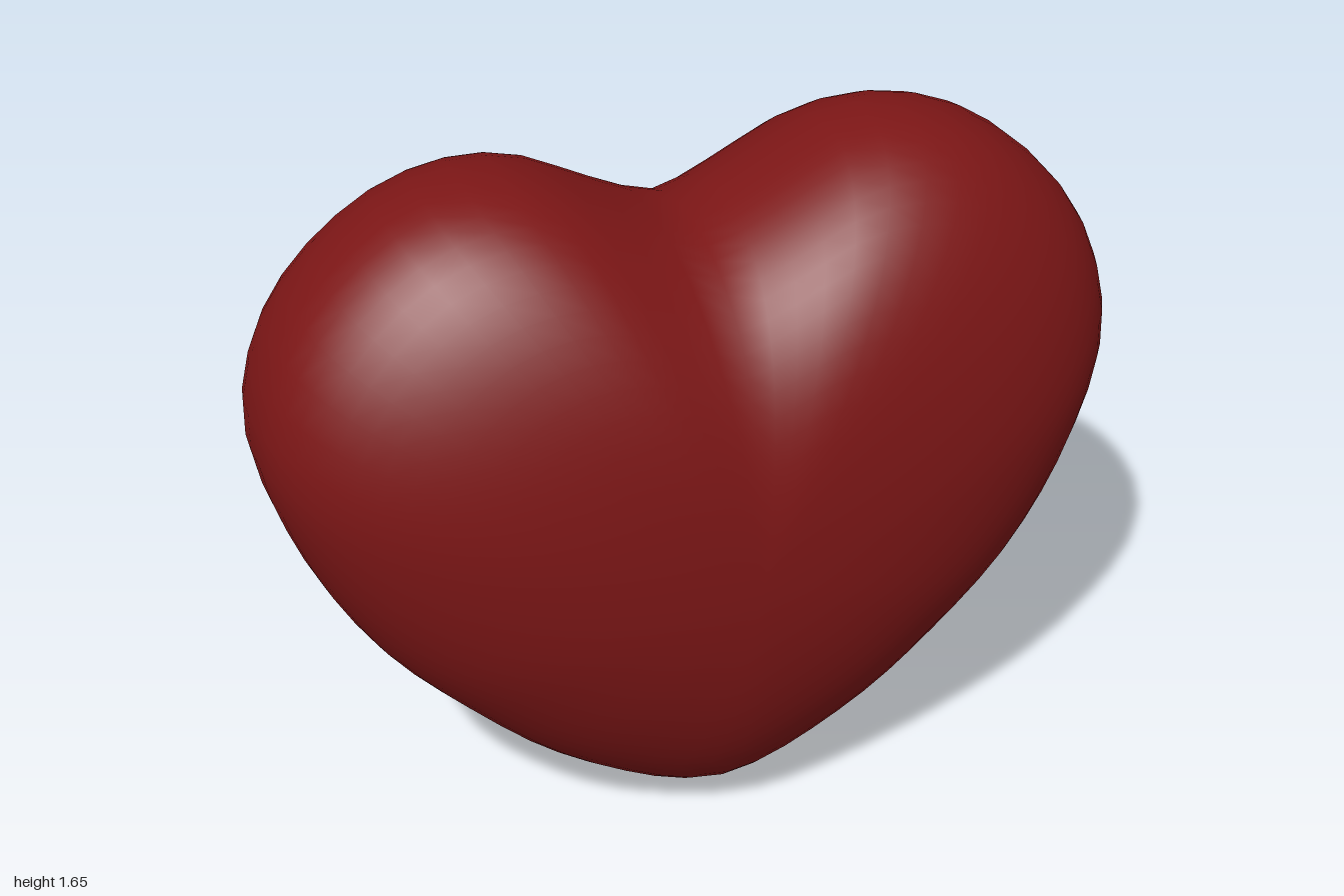
import * as THREE from 'three';
import { mergeVertices } from 'three/addons/utils/BufferGeometryUtils.js';

// Half of the heart outline, from the top notch round to the bottom tip
const half = new THREE.CatmullRomCurve3([
  [0, 1.485], [0.1, 1.515], [0.22, 1.575], [0.36, 1.64], [0.5, 1.655], [0.67, 1.61],
  [0.84, 1.485], [0.95, 1.33], [1, 1.12], [0.94, 0.87], [0.8, 0.6], [0.62, 0.39],
  [0.42, 0.2], [0.2, 0.06], [0.08, 0.012], [0, 0],
].map(([x, y]) => new THREE.Vector3(x, y, 0)));

const CENTRE_Y = 0.8;
const HALF_DEPTH = 0.495;

// Sphere with its poles facing front and back, each meridian stretched to the outline
function heartGeometry() {
  const sphere = new THREE.SphereGeometry(1, 64, 36).rotateX(Math.PI / 2);
  const pos = sphere.attributes.position;
  for (let i = 0; i < pos.count; i++) {
    const x = pos.getX(i), y = pos.getY(i), z = pos.getZ(i);
    const turn = Math.atan2(x, y); // 0 at the notch, +-PI at the tip
    const edge = half.getPointAt(Math.min(1, Math.abs(turn) / Math.PI));
    const ex = edge.x * Math.sign(turn), ey = edge.y - CENTRE_Y;

    // Fuller bulge towards the sides than towards top and bottom
    const side = (ex * ex) / (ex * ex + ey * ey);
    const power = 2 / (2.15 + 0.35 * side);
    const r = Math.pow(Math.hypot(x, y), power);

    // The notch softens towards the front and back
    const soften = 0.06 * z * z * Math.exp(-((turn / 0.3) ** 2));
    pos.setXYZ(i, ex * r, CENTRE_Y + ey * r * (1 + soften),
      HALF_DEPTH * Math.sign(z) * Math.pow(Math.abs(z), power));
  }
  // Weld the seam so that the shading is smooth all round
  sphere.deleteAttribute('uv');
  sphere.deleteAttribute('normal');
  const welded = mergeVertices(sphere, 1e-4);
  welded.computeVertexNormals();
  return welded;
}

export function createModel() {
  const group = new THREE.Group();
  group.name = 'heartModel';
  const heart = new THREE.Mesh(heartGeometry(), new THREE.MeshStandardMaterial({ color: 0x7c1616 }));
  heart.name = 'heart';
  group.add(heart);
  return group;
}
